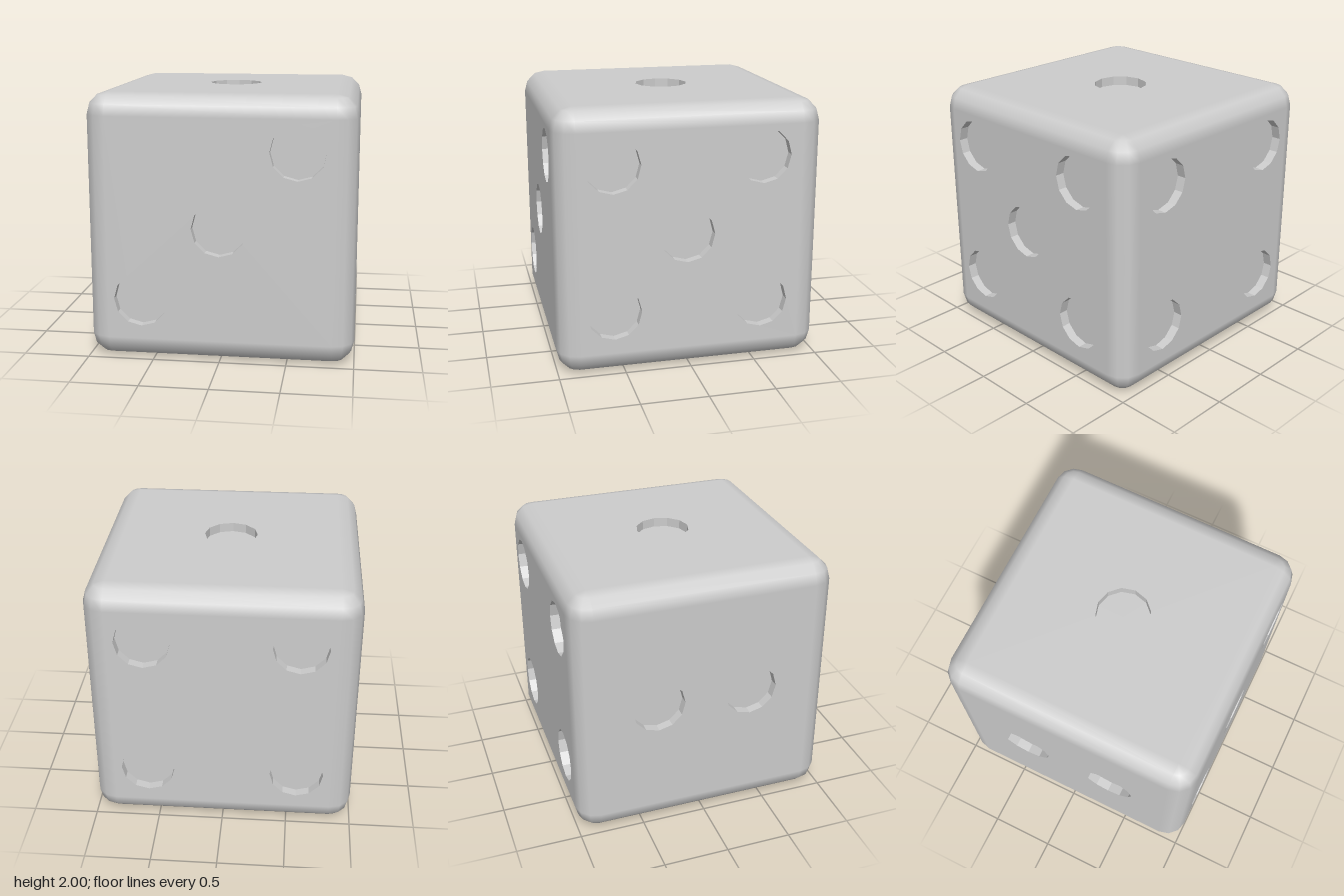
import * as THREE from 'three';
import { mergeGeometries } from 'three/addons/utils/BufferGeometryUtils.js';

const BEVEL = 0.165;       // radius of the rounded edges
const FLAT = 1 - BEVEL;    // half width of each flat face
const PIP_R = 0.204;
const PIP_DEPTH = 0.07;
const SIDES = 12;
const Q = Math.PI / 2;

// Pip centres [u, v] in each face's own plane, with the turn that points it outwards
const FACES = [
  { name: 'front', rot: [0, 0, 0], pips: [[0.57, 0.595], [0, 0.02], [-0.585, -0.53]] },
  { name: 'right', rot: [0, Q, 0], pips: [[-0.58, 0.59], [0.54, 0.605], [-0.03, 0.04], [-0.58, -0.52], [0.54, -0.52]] },
  { name: 'back', rot: [0, 2 * Q, 0], pips: [[-0.57, 0.59], [0.57, 0.59], [-0.57, -0.53], [0.57, -0.53]] },
  { name: 'left', rot: [0, -Q, 0], pips: [[-0.37, 0.045], [0.355, 0.045]] },
  { name: 'top', rot: [-Q, 0, 0], pips: [[0, 0]] },
  { name: 'bottom', rot: [Q, 0, 0], pips: [[0.56, -0.53], [0.56, 0.02], [0.56, 0.57], [-0.58, -0.53], [-0.58, 0.02], [-0.58, 0.57]] },
];

// Square plate with a polygonal hole for every pip
function plateGeometry(pips) {
  const shape = new THREE.Shape();
  shape.moveTo(-FLAT, -FLAT).lineTo(FLAT, -FLAT).lineTo(FLAT, FLAT).lineTo(-FLAT, FLAT).closePath();
  for (const [u, v] of pips) {
    const ring = [];
    for (let i = 0; i < SIDES; i++) {
      const a = -i / SIDES * Math.PI * 2;
      ring.push(new THREE.Vector2(u + PIP_R * Math.cos(a), v + PIP_R * Math.sin(a)));
    }
    shape.holes.push(new THREE.Path(ring));
  }
  return new THREE.ShapeGeometry(shape).translate(0, 0, 1);
}

// Shallow recess: inward-facing wall and flat floor
function pipGeometry() {
  const wall = new THREE.CylinderGeometry(PIP_R, PIP_R, PIP_DEPTH, SIDES, 1, true)
    .rotateX(Q).scale(-1, 1, 1).toNonIndexed();
  // mirroring turns the wall inside out, so swap the corners to face the hollow
  const p = wall.attributes.position;
  const a = new THREE.Vector3(), b = new THREE.Vector3(), c = new THREE.Vector3();
  for (let i = 0; i < p.count; i += 3) {
    a.fromBufferAttribute(p, i);
    b.fromBufferAttribute(p, i + 1);
    c.fromBufferAttribute(p, i + 2);
    const n = b.clone().sub(a).cross(c.clone().sub(a));
    if (n.x * (a.x + b.x + c.x) + n.y * (a.y + b.y + c.y) > 0) {
      p.setXYZ(i + 1, c.x, c.y, c.z);
      p.setXYZ(i + 2, b.x, b.y, b.z);
    }
  }
  wall.computeVertexNormals();
  wall.translate(0, 0, 1 - PIP_DEPTH / 2);
  const floor = new THREE.CircleGeometry(PIP_R, SIDES).toNonIndexed().translate(0, 0, 1 - PIP_DEPTH);
  return mergeGeometries([wall, floor]);
}

// Twelve quarter-round edges
function edgesGeometry() {
  const parts = [];
  for (let k = 0; k < 4; k++) {
    const edge = new THREE.CylinderGeometry(BEVEL, BEVEL, 2 * FLAT, 3, 1, true, 0, Q)
      .translate(FLAT, 0, FLAT).rotateY(k * Q);
    parts.push(edge, edge.clone().rotateX(Q), edge.clone().rotateZ(Q));
  }
  return mergeGeometries(parts);
}

// Eight ball corners
function cornersGeometry() {
  const parts = [];
  for (let k = 0; k < 4; k++) {
    const corner = new THREE.SphereGeometry(BEVEL, 3, 3, Q, Q, 0, Q)
      .translate(FLAT, FLAT, FLAT).rotateY(k * Q);
    parts.push(corner, corner.clone().rotateZ(Math.PI));
  }
  return mergeGeometries(parts);
}

export function createModel() {
  const model = new THREE.Group();
  model.name = 'die';
  const grey = new THREE.MeshStandardMaterial({ color: 0xcccccc });
  grey.name = 'lightGrey';
  const add = (parent, geometry, name) => {
    const mesh = new THREE.Mesh(geometry, grey);
    mesh.name = name;
    parent.add(mesh);
    return mesh;
  };

  // Cube body, centred one unit above the ground
  const body = new THREE.Group();
  body.name = 'body';
  body.position.y = 1;
  model.add(body);
  add(body, edgesGeometry(), 'roundedEdges');
  add(body, cornersGeometry(), 'roundedCorners');

  // Six faces with their recessed pips
  const pip = pipGeometry();
  for (const { name, rot, pips } of FACES) {
    const face = new THREE.Group();
    face.name = name + 'Face';
    face.rotation.set(...rot);
    body.add(face);
    add(face, plateGeometry(pips), name + 'Plate');
    for (const [u, v] of pips) add(face, pip, name + 'Pip').position.set(u, v, 0);
  }
  return model;
}
